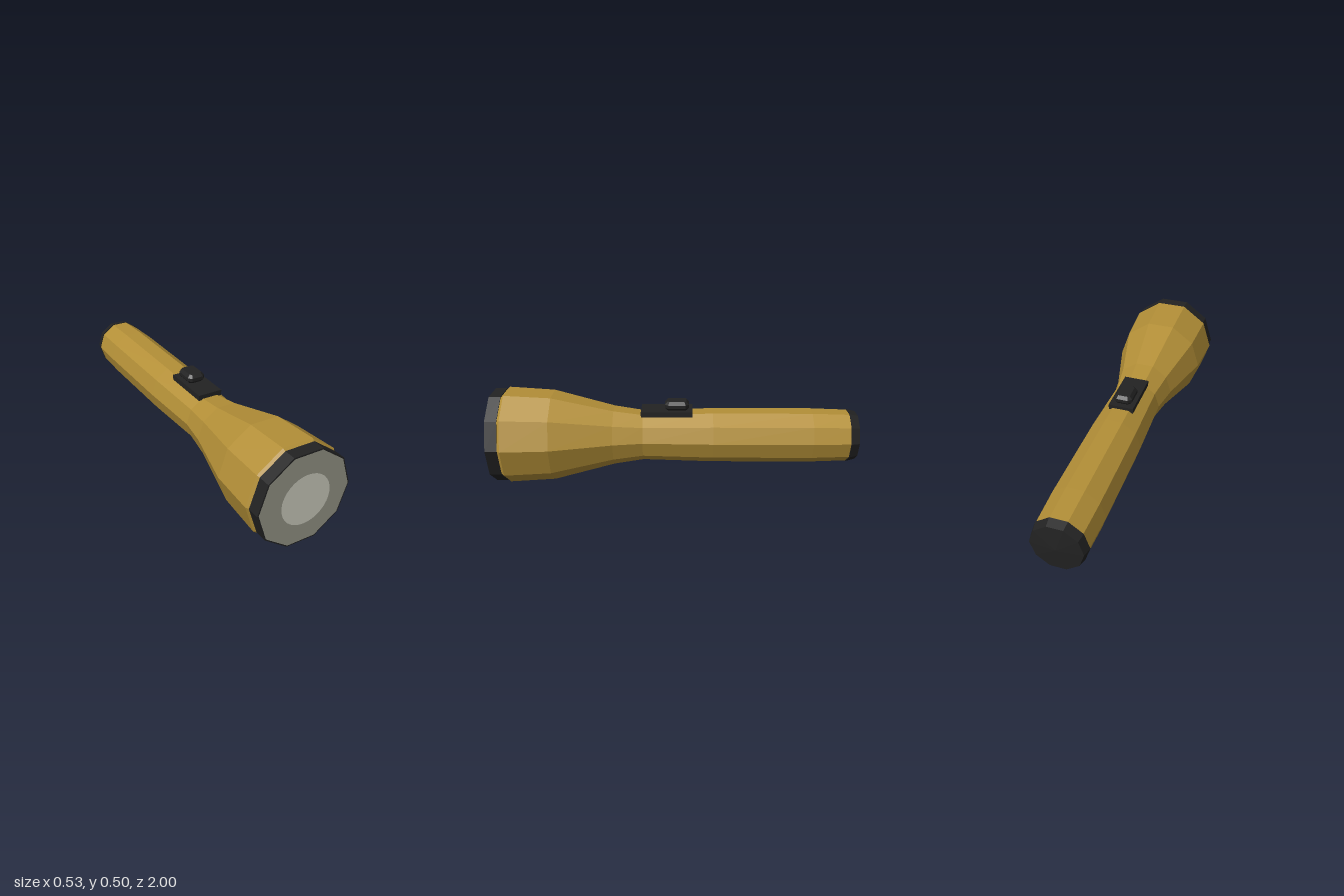
import * as THREE from 'three';

const SIDES = 10;
const AXIS_Y = 0.251;

function material(name, color, flatShading = true) {
  const m = new THREE.MeshStandardMaterial({ color, flatShading });
  m.name = name;
  return m;
}

export function createModel() {
  const group = new THREE.Group();
  group.name = 'flashlight';
  const gold = material('gold', 0xb38f37);
  const black = material('black', 0x222222);
  const lensGrey = material('lensGrey', 0x949486);
  const lensBright = material('lensBright', 0xcbcbbd);

  function add(name, geometry, mat, x = 0, y = 0, z = 0) {
    const mesh = new THREE.Mesh(geometry, mat);
    mesh.name = name;
    mesh.position.set(x, y, z);
    group.add(mesh);
    return mesh;
  }

  // Ten-sided turned part along z; profile is [radius, z] from back to front
  function turned(name, profile, mat) {
    const points = profile.map(([r, z]) => new THREE.Vector2(r, z));
    const geometry = new THREE.LatheGeometry(points, SIDES, Math.PI / 2);
    geometry.rotateX(Math.PI / 2);
    return add(name, geometry, mat, 0, AXIS_Y, 0);
  }

  // Barrel flaring into the head
  turned('body', [
    [0.141, -0.94], [0.148, -0.74], [0.148, -0.2], [0.137, 0.18],
    [0.162, 0.34], [0.248, 0.67], [0.264, 0.92], [0.246, 0.94],
  ], gold);

  // Rear cap with a shallow domed end
  turned('tailCap', [[0, -1], [0.133, -0.987], [0.145, -0.94], [0, -0.94]], black);

  // Ring around the lens
  turned('bezel', [[0, 0.935], [0.256, 0.935], [0.256, 0.998], [0, 0.998]], black);

  // Lens and its bright centre
  add('lens', new THREE.CircleGeometry(0.249, SIDES), lensGrey, 0, AXIS_Y, 0.999);
  add('lensCentre', new THREE.CircleGeometry(0.135, 32), lensBright, 0.006, 0.246, 1);

  // Switch plate
  add('switchPlate', new THREE.BoxGeometry(0.136, 0.03, 0.28), black, 0, 0.391, 0.05);

  // Bevelled switch button with cut corners
  const w = 0.036, l = 0.051, c = 0.01;
  const outline = new THREE.Shape([
    [w, -l + c], [w, l - c], [w - c, l], [-w + c, l],
    [-w, l - c], [-w, -l + c], [-w + c, -l], [w - c, -l],
  ].map(([x, y]) => new THREE.Vector2(x, y)));
  const button = new THREE.ExtrudeGeometry(outline, {
    depth: 0.018, bevelEnabled: true, bevelSegments: 1, bevelThickness: 0.017, bevelSize: 0.014,
  });
  button.rotateX(-Math.PI / 2);
  add('switchButton', button, black, 0, 0.419, -0.005);

  return group;
}
